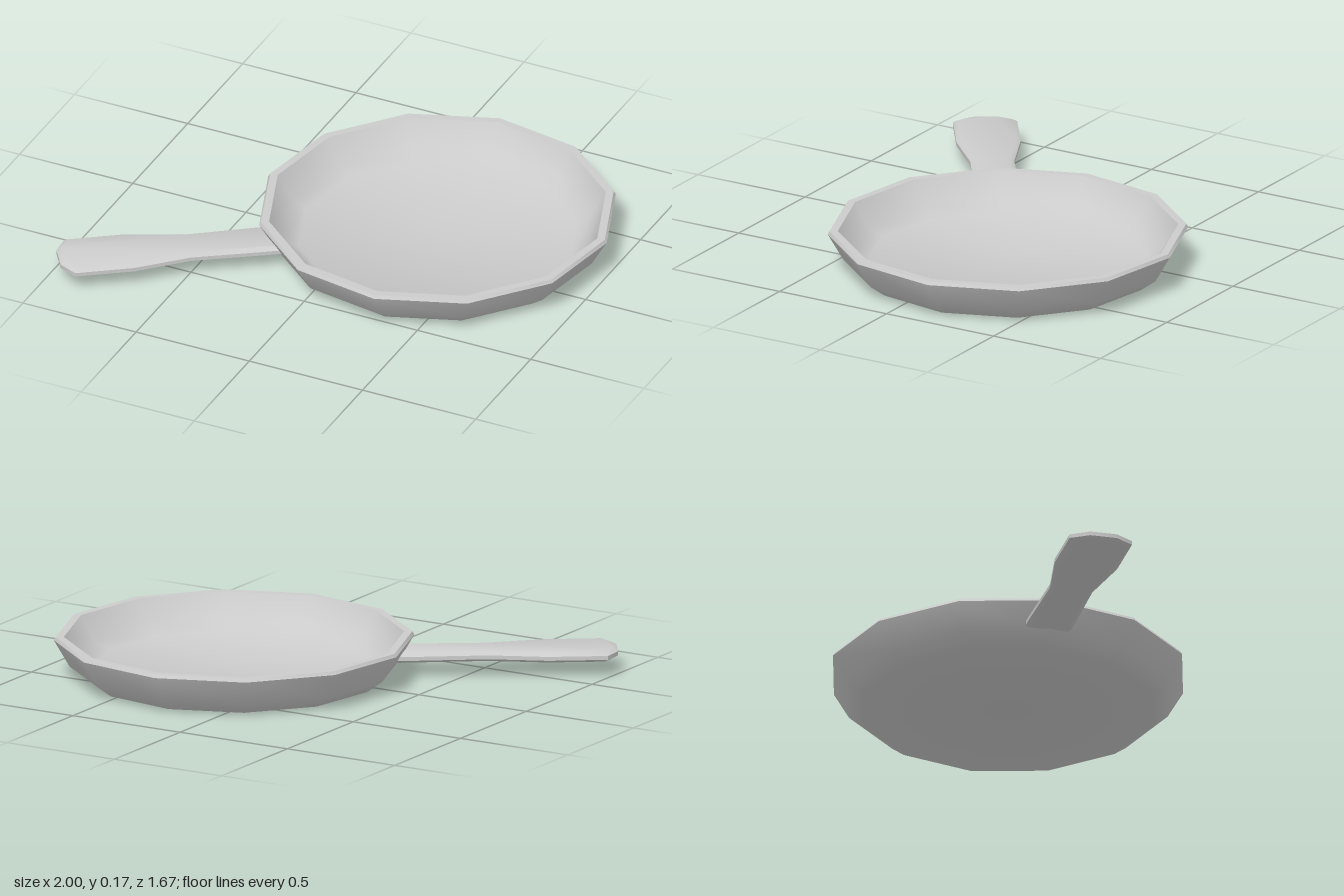
import * as THREE from 'three';
import { toCreasedNormals } from 'three/addons/utils/BufferGeometryUtils.js';

const material = new THREE.MeshStandardMaterial({ color: 0xcccccc });

// Twelve-sided dish: underside, flared wall, flat rim, inner wall and floor
function createPan() {
  const profile = [
    [0, 0], [0.59, 0], [0.655, 0.048], [0.718, 0.157], [0.71, 0.17],
    [0.678, 0.17], [0.62, 0.075], [0.56, 0.04], [0, 0.04],
  ].map(([r, y]) => new THREE.Vector2(r, y));
  const geometry = toCreasedNormals(new THREE.LatheGeometry(profile, 12), 0.8);
  const pan = new THREE.Mesh(geometry, material);
  pan.name = 'pan';
  return pan;
}

// Flat paddle handle along +z: [half width, distance from the pan centre]
function createHandle() {
  const side = [
    [0.093, 0.63], [0.093, 0.7], [0.087, 1.007], [0.128, 1.243],
    [0.128, 1.48], [0.055, 1.526],
  ];
  const mirrored = side.map(([w, d]) => [-w, d]).reverse();
  const outline = [...side, ...mirrored].map(([x, y]) => new THREE.Vector2(x, y));
  const bevel = 0.012;
  const geometry = new THREE.ExtrudeGeometry(new THREE.Shape(outline), {
    depth: 0.04 - 2 * bevel,
    bevelThickness: bevel,
    bevelSize: 0.02,
    bevelOffset: -0.02,
    bevelSegments: 1,
  });
  geometry.rotateX(Math.PI / 2).translate(0, 0.1 - bevel, 0);
  const handle = new THREE.Mesh(toCreasedNormals(geometry, 0.7), material);
  handle.name = 'handle';
  return handle;
}

export function createModel() {
  const model = new THREE.Group();
  model.name = 'fryingPan';
  // The handle points to the front right, in line with a corner of the dish
  const body = new THREE.Group();
  body.name = 'panWithHandle';
  body.add(createPan(), createHandle());
  body.rotation.y = THREE.MathUtils.degToRad(-54.7);
  body.position.set(0.285, 0, -0.125);
  model.add(body);
  return model;
}
